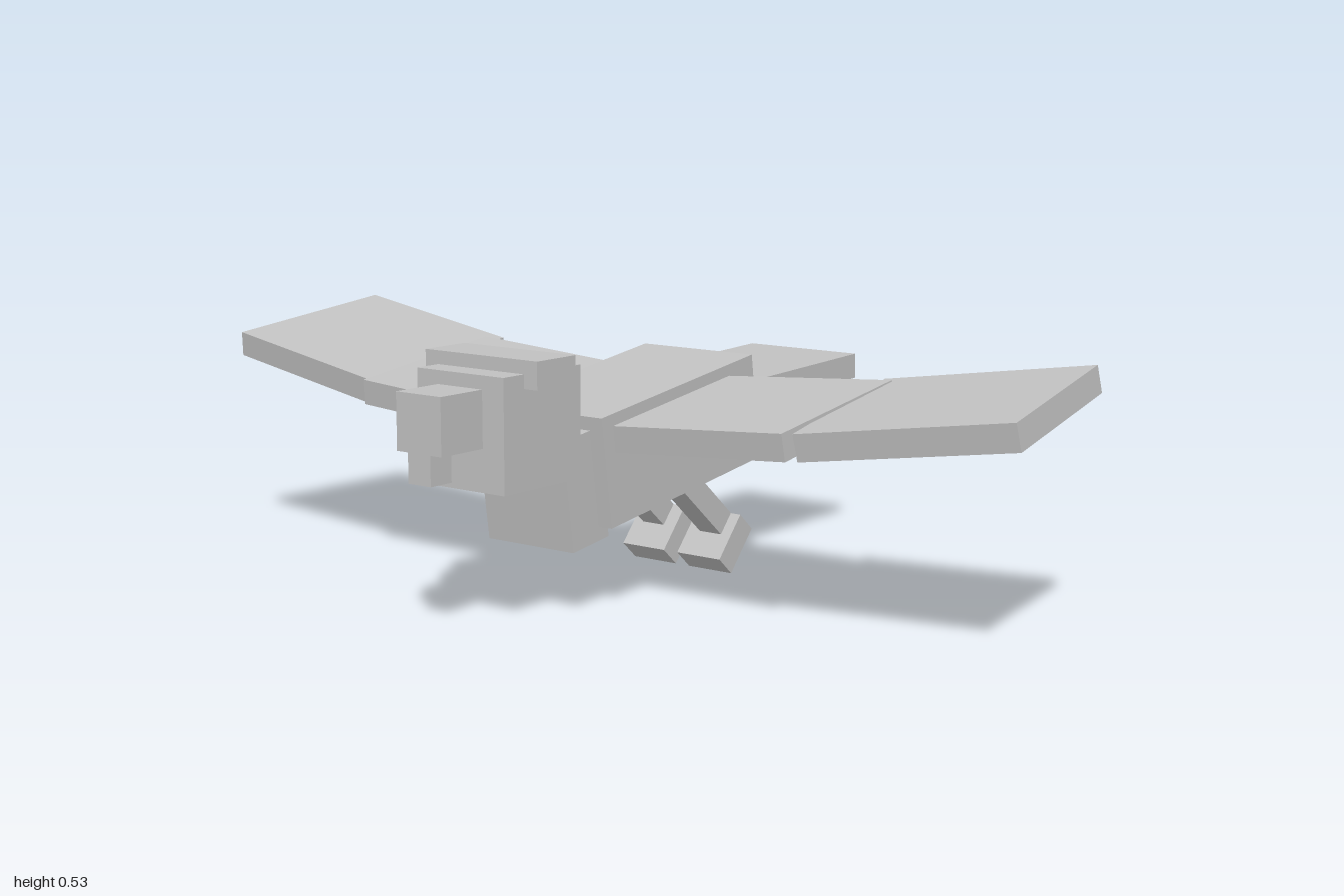
import * as THREE from 'three';

export function createModel() {
  const model = new THREE.Group();
  const plumage = new THREE.MeshStandardMaterial({ color: 0xc0c0c0 });
  plumage.name = 'plainGrey';

  // Adds one named block: size, centre and rotation
  function block(name, size, pos, rot = [0, 0, 0]) {
    const mesh = new THREE.Mesh(new THREE.BoxGeometry(...size), plumage);
    mesh.name = name;
    mesh.position.set(...pos);
    mesh.rotation.set(...rot);
    model.add(mesh);
  }

  // Adds a block on the left (+x) and its mirror image on the right
  function pair(name, size, [x, y, z], [rx, ry, rz]) {
    block('left' + name, size, [x, y, z], [rx, ry, rz]);
    block('right' + name, size, [-x, y, z], [rx, -ry, -rz]);
  }

  const pitch = 0.138; // the body leans nose-down in flight

  // Body, neck and tail
  block('body', [0.285, 0.227, 0.51], [0, 0.322, 0.008], [pitch, 0, 0]);
  block('neck', [0.22, 0.227, 0.111], [0, 0.255, 0.285], [pitch, 0, 0]);
  block('tail', [0.284, 0.055, 0.435], [0, 0.392, -0.418], [0.035, 0, 0]);

  // Head with crest and hooked beak
  block('head', [0.22, 0.225, 0.225], [0, 0.393, 0.413]);
  block('crest', [0.285, 0.055, 0.112], [0, 0.505, 0.411]);
  block('beak', [0.113, 0.113, 0.115], [0, 0.422, 0.582]);
  block('beakTip', [0.057, 0.06, 0.057], [0, 0.336, 0.611]);

  // Wings: inner panels and swept, raised outer panels
  pair('InnerWing', [0.415, 0.055, 0.392], [0.335, 0.393, 0.043], [pitch, 0.008, 0.07]);
  pair('OuterWing', [0.45, 0.055, 0.395], [0.753, 0.436, -0.002], [pitch, 0.108, 0.127]);

  // Legs folded backwards, with feet at right angles
  pair('Leg', [0.056, 0.054, 0.174], [0.077, 0.161, -0.127], [-0.705, 0, 0]);
  pair('Foot', [0.112, 0.113, 0.057], [0.074, 0.064, -0.194], [-0.72, 0, 0]);

  return model;
}
